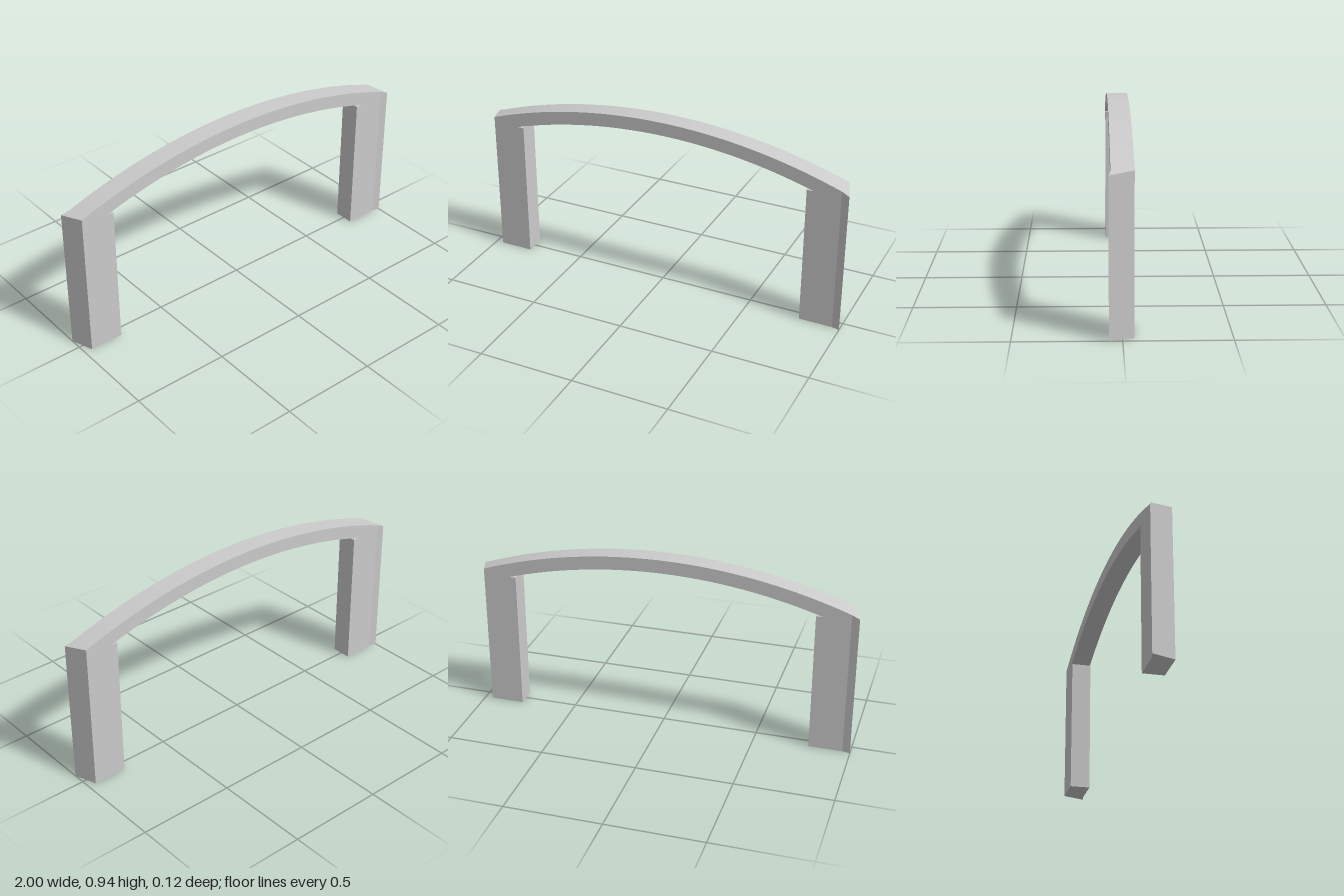
import * as THREE from 'three';
import { mergeGeometries, toCreasedNormals } from 'three/addons/utils/BufferGeometryUtils.js';

const HALF = 0.053;        // half depth of the frame
const INNER = 0.785;       // inner face of a leg
const JOIN = 0.82;         // where the arch meets a leg
const BEND = 0.96;         // where the flared corner starts
const SHOULDER = 0.74;     // height of the small ledge inside the arch

// Height of a circular arc with the given crown, through (endX, endY)
function arc(x, crown, endX, endY) {
  const sag = crown - endY;
  const r = (endX * endX + sag * sag) / (2 * sag);
  return crown - r + Math.sqrt(r * r - x * x);
}
const archTop = (x) => arc(x, 0.935, 1, 0.755);
const archBottom = (x) => arc(x, 0.865, JOIN, SHOULDER);

// Four-cornered section: front bottom, front top, back top, back bottom
function section(x, bottom, top) {
  return [[x, bottom, HALF], [x, top, HALF], [x, top, -HALF], [x, bottom, -HALF]];
}

// Skin a row of sections running towards +x
function loft(sections, capStart, capEnd) {
  const index = [];
  const quad = (a, b, c, d) => index.push(a, b, c, a, c, d);
  const last = (sections.length - 1) * 4;
  for (let s = 0; s < last; s += 4) {
    for (let k = 0; k < 4; k++) {
      const j = (k + 1) % 4;
      quad(s + k, s + 4 + k, s + 4 + j, s + j);
    }
  }
  if (capStart) quad(0, 1, 2, 3);
  if (capEnd) quad(last, last + 3, last + 2, last + 1);
  const geometry = new THREE.BufferGeometry();
  geometry.setAttribute('position', new THREE.Float32BufferAttribute(sections.flat(2), 3));
  geometry.setIndex(index);
  return toCreasedNormals(geometry, 0.1);
}

// Sections evenly spaced between two x positions
function row(x0, x1, steps, bottom, top) {
  return Array.from({ length: steps + 1 }, (_, i) => {
    const x = x0 + ((x1 - x0) * i) / steps;
    return section(x, bottom(x), top(x));
  });
}

export function createModel() {
  const model = new THREE.Group();
  model.name = 'archedFrame';
  const material = new THREE.MeshStandardMaterial({ color: 0xcccccc });

  // Curved top rail
  const arch = new THREE.Mesh(loft(row(-JOIN, JOIN, 48, archBottom, archTop)), material);
  arch.name = 'archRail';
  model.add(arch);

  // Leg: low inner ledge, then a full-height post with a slanted, flared end
  const ground = () => 0;
  const ledge = loft(row(INNER, JOIN, 1, ground, () => SHOULDER), true, false);
  const post = row(JOIN, BEND, 6, ground, archTop);
  post.push([
    [1, 0, 0.062], [1, archTop(1), 0.062],
    [BEND, archTop(BEND), -HALF], [BEND, 0, -HALF],
  ]);
  const legGeometry = mergeGeometries([ledge, loft(post, false, true)]);

  // The second leg is the first turned half way round
  ['leftLeg', 'rightLeg'].forEach((name, i) => {
    const leg = new THREE.Mesh(legGeometry, material);
    leg.name = name;
    leg.rotation.y = i * Math.PI;
    model.add(leg);
  });

  return model;
}
